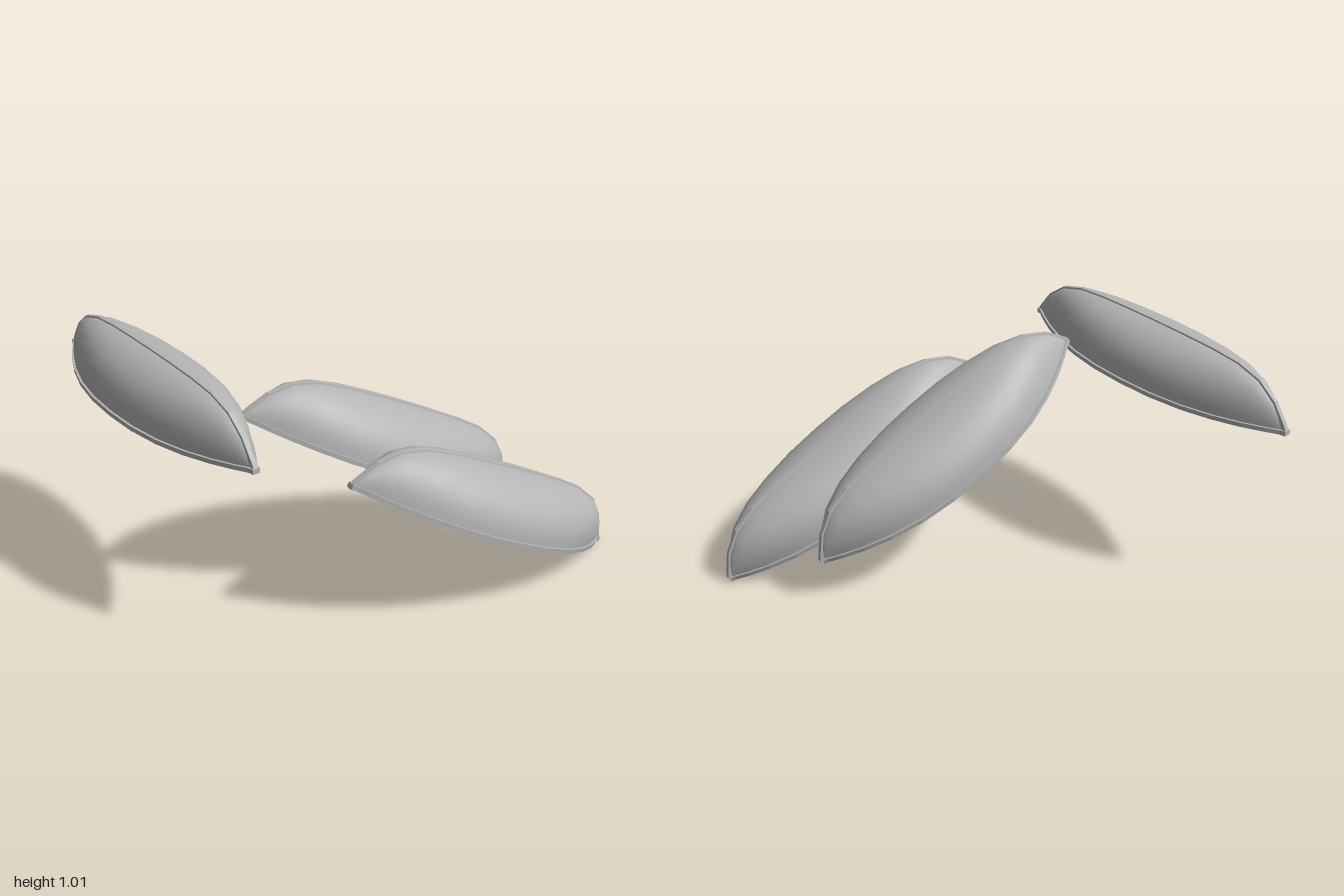
import * as THREE from 'three';

const hullGrey = new THREE.MeshStandardMaterial({ color: 0xb4b4b4, side: THREE.DoubleSide });
hullGrey.name = 'hullGrey';

const STATIONS = 14;
// stations bunch up towards the pointed ends
const station = (u) => Math.sin((u * 2 - 1) * Math.PI / 2);
const beam = (t) => Math.max(1 - Math.abs(t) ** 2.3, 0.02);
const rise = (t) => Math.max(1 - 0.1 * t * t - 0.9 * Math.abs(t) ** 7, 0.02);

// surface from a rule (u, v) -> [x, y, z]
function grid(rule, nu, nv, flat) {
  const pos = [], idx = [];
  for (let i = 0; i <= nu; i++) {
    for (let j = 0; j <= nv; j++) pos.push(...rule(i / nu, j / nv));
  }
  for (let i = 0; i < nu; i++) {
    for (let j = 0; j < nv; j++) {
      const a = i * (nv + 1) + j, b = a + nv + 1;
      idx.push(a, a + 1, b, b, a + 1, b + 1);
    }
  }
  let g = new THREE.BufferGeometry();
  g.setAttribute('position', new THREE.Float32BufferAttribute(pos, 3));
  g.setIndex(idx);
  if (flat) g = g.toNonIndexed();
  g.computeVertexNormals();
  return g;
}

function part(name, geometry) {
  const m = new THREE.Mesh(geometry, hullGrey);
  m.name = name;
  return m;
}

// upturned boat with its end points at a and b
function boat(name, a, b, halfWidth, depth) {
  const start = new THREE.Vector3(...a), end = new THREE.Vector3(...b);
  const half = start.distanceTo(end) / 2 - 0.006;
  const W = halfWidth - 0.008;
  const group = new THREE.Group();
  group.name = name;

  // rounded shell, open underneath
  group.add(part('hullShell', grid((u, v) => {
    const t = station(u), ang = v * Math.PI;
    return [t * half, depth * rise(t) * Math.sin(ang) ** 0.9, -W * beam(t) * Math.cos(ang)];
  }, STATIONS, 20)));

  // raised strip along the keel
  const strip = [[-0.012, -0.006], [-0.009, 0.005], [0.009, 0.005], [0.012, -0.006]];
  group.add(part('keelStrip', grid((u, v) => {
    const t = station(u), [z, y] = strip[Math.round(v * 3)];
    return [t * (half + y), depth * rise(t) + y, z];
  }, STATIONS, 3, true)));

  // square rim along each side of the opening
  const r = 0.009;
  const square = [[-r, -r], [r, -r], [r, r], [-r, r], [-r, -r]];
  for (const side of [-1, 1]) {
    group.add(part(side < 0 ? 'rimRight' : 'rimLeft', grid((u, v) => {
      const t = station(u), [dz, dy] = square[Math.round(v * 4)];
      return [t * half, dy, side * (W * beam(t) + dz)];
    }, STATIONS, 4, true)));
  }

  // small blocks where the rims meet
  for (const s of [-1, 1]) {
    const tip = part(s < 0 ? 'tipStart' : 'tipEnd', new THREE.BoxGeometry(0.014, 0.02, 0.03));
    tip.position.x = s * half;
    group.add(tip);
  }

  const x = end.clone().sub(start).normalize();
  const z = x.clone().cross(new THREE.Vector3(0, 1, 0)).normalize();
  const y = z.clone().cross(x);
  group.quaternion.setFromRotationMatrix(new THREE.Matrix4().makeBasis(x, y, z));
  group.position.copy(start).add(end).multiplyScalar(0.5);
  return group;
}

export function createModel() {
  const model = new THREE.Group();
  model.name = 'upturnedBoats';
  model.add(
    boat('rearBoat', [-0.73, 0.82, 0.35], [-0.4, 0.78, -1.0], 0.2, 0.208),
    boat('middleBoat', [-0.505, 0.84, 0.06], [0.655, 0.195, 0.48], 0.26, 0.215),
    boat('frontBoat', [-0.385, 0.655, 0.485], [0.785, 0.012, 0.895], 0.26, 0.215),
  );
  return model;
}
